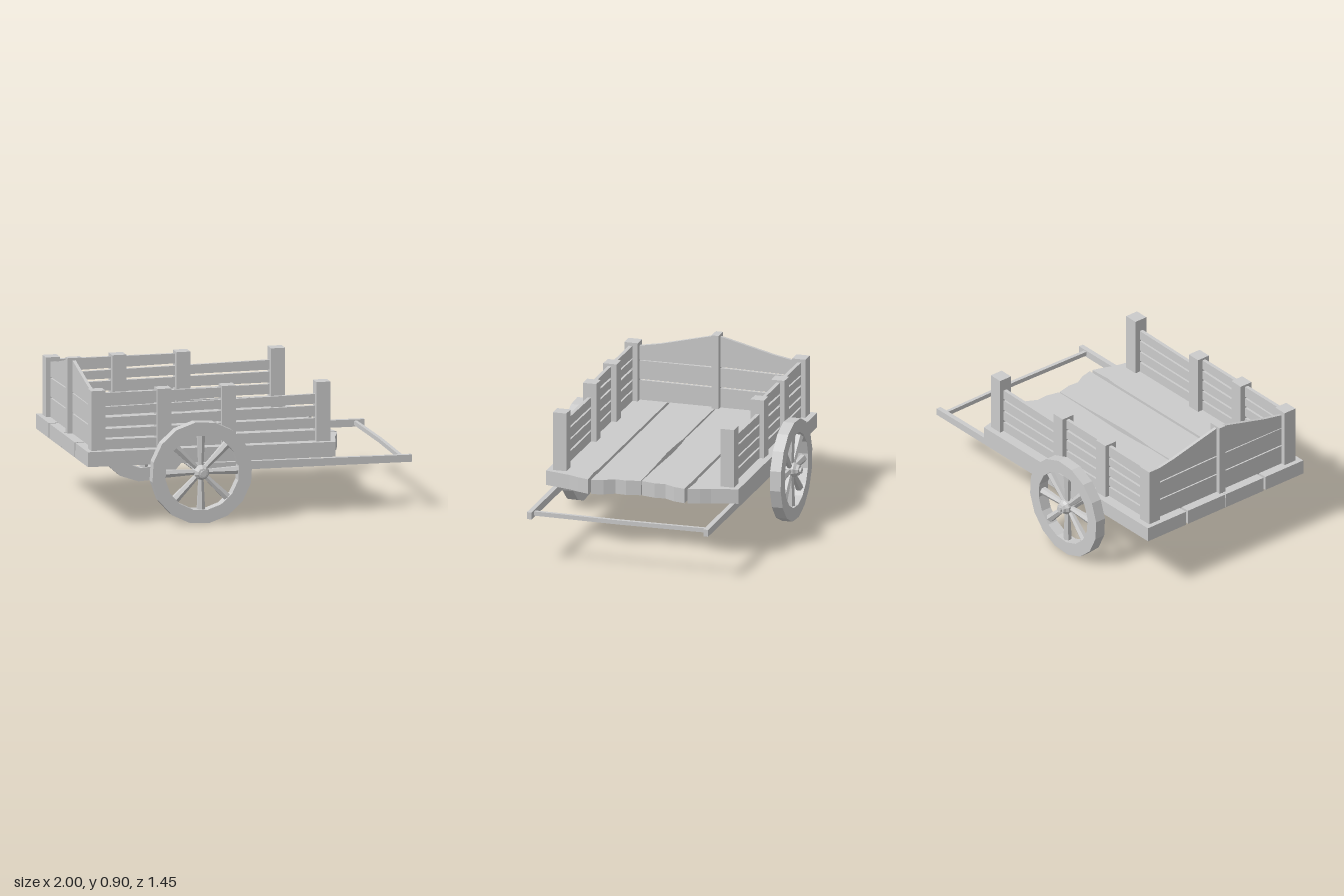
import * as THREE from 'three';

const material = new THREE.MeshStandardMaterial({ color: 0xcccccc, flatShading: true });

function add(parent, name, geometry, x = 0, y = 0, z = 0) {
  const mesh = new THREE.Mesh(geometry, material);
  mesh.name = name;
  mesh.position.set(x, y, z);
  parent.add(mesh);
  return mesh;
}

// Straight-sided plate cut from a list of [x, y] corners
function plate(points, depth) {
  const shape = new THREE.Shape(points.map(([x, y]) => new THREE.Vector2(x, y)));
  return new THREE.ExtrudeGeometry(shape, { depth, bevelEnabled: false });
}

function box(x0, x1, y0, y1, z0, z1) {
  return new THREE.BoxGeometry(x1 - x0, y1 - y0, z1 - z0)
    .translate((x0 + x1) / 2, (y0 + y1) / 2, (z0 + z1) / 2);
}

function ring(radius, sides, offset, PathType) {
  const pts = [];
  for (let i = 0; i < sides; i++) {
    const a = offset + (i / sides) * Math.PI * 2;
    pts.push(new THREE.Vector2(Math.cos(a) * radius, Math.sin(a) * radius));
  }
  return new PathType(pts);
}

function createWheel() {
  const wheel = new THREE.Group();
  wheel.name = 'wheel';
  // Faceted rim
  const rim = ring(0.309, 16, 0.14, THREE.Shape);
  rim.holes.push(ring(0.228, 16, 0.14, THREE.Path));
  add(wheel, 'rim', new THREE.ExtrudeGeometry(rim, { depth: 0.068, bevelEnabled: false }), 0, 0, 0.622);
  // Spokes flare towards the rim
  for (let i = 0; i < 8; i++) {
    const spoke = new THREE.CylinderGeometry(0.027, 0.016, 0.21, 6).translate(0, 0.132, 0);
    add(wheel, 'spoke', spoke, 0, 0, 0.656).rotation.z = (i * Math.PI) / 4;
  }
  // Turned hub with end cap
  const profile = [
    [0, 0.55], [0.026, 0.55], [0.028, 0.58], [0.036, 0.61], [0.046, 0.63], [0.046, 0.68],
    [0.034, 0.695], [0.03, 0.71], [0.018, 0.712], [0.018, 0.724], [0, 0.724],
  ].map(([r, h]) => new THREE.Vector2(r, h));
  add(wheel, 'hub', new THREE.LatheGeometry(profile, 10)).rotation.x = Math.PI / 2;
  return wheel;
}

export function createModel() {
  const cart = new THREE.Group();
  cart.name = 'handCart';

  // Floor planks with a ragged front edge, tilted slightly forwards
  const floor = new THREE.Group();
  floor.name = 'floor';
  floor.position.y = 0.441;
  floor.rotation.z = -0.01;
  cart.add(floor);
  const outer = [[-1, 0.6], [0.52, 0.6], [0.545, 0.5], [0.56, 0.44], [0.585, 0.38], [0.607, 0.31],
    [0.47, 0.318], [0.4, 0.31], [-1, 0.307]];
  const inner = [[-1, 0.291], [0.607, 0.291], [0.59, 0.22], [0.555, 0.155], [0.56, 0.09], [0.54, 0.003],
    [0.3, 0.006], [-0.02, 0.017], [-0.2, 0.012], [-0.3, 0.004], [-0.65, 0.007], [-1, 0.003]];
  for (const side of [-1, 1]) {
    for (const outline of [outer, inner]) {
      const geometry = plate(outline.map(([x, z]) => [x, z * side]), 0.09);
      add(floor, 'floorPlank', geometry).rotation.x = Math.PI / 2;
    }
  }

  // Side walls: posts and five uneven rails, the top one stopping short
  const posts = [[-0.927, 0.812], [-0.52, 0.804], [-0.125, 0.802], [0.455, 0.795]];
  const rails = [
    [0.46, 0.445, 0.51, 0.43, 0.498],
    [0.46, 0.522, 0.573, 0.512, 0.572],
    [0.46, 0.587, 0.642, 0.583, 0.648],
    [0.46, 0.657, 0.706, 0.66, 0.719],
    [-0.09, 0.716, 0.792, 0.73, 0.787],
  ];
  for (const side of [-1, 1]) {
    const wall = new THREE.Group();
    wall.name = side > 0 ? 'leftOfFloorWall' : 'rightOfFloorWall';
    wall.name = side > 0 ? 'frontWall' : 'backWall';
    cart.add(wall);
    for (const [x, top] of posts) {
      add(wall, 'post', box(x - 0.043, x + 0.043, 0.43, top, -0.042, 0.042), 0, 0, side * 0.523);
    }
    for (const [end, b0, t0, b1, t1] of rails) {
      const rail = plate([[-0.93, b0], [end, b1], [end, t1], [-0.93, t0]], 0.022);
      add(wall, 'rail', rail, 0, 0, side * 0.526 - 0.011);
    }
  }

  // Tail wall: two straight boards, a peaked top board and a centre post
  const tail = new THREE.Group();
  tail.name = 'tailWall';
  cart.add(tail);
  const boards = [
    [[-0.5, 0.445], [0.5, 0.445], [0.5, 0.566], [-0.5, 0.572]],
    [[-0.5, 0.58], [0.5, 0.574], [0.5, 0.686], [0.1, 0.694], [-0.5, 0.694]],
    [[-0.5, 0.698], [0.1, 0.702], [0.5, 0.694], [0.5, 0.782], [0.35, 0.81], [0, 0.897],
      [-0.35, 0.81], [-0.5, 0.782]],
  ];
  for (const outline of boards) {
    add(tail, 'tailBoard', plate(outline, 0.02), -0.942, 0, 0).rotation.y = Math.PI / 2;
  }
  add(tail, 'centrePost', box(-0.972, -0.886, 0.43, 0.906, -0.022, 0.022));

  // Axle and wheels
  const axle = new THREE.CylinderGeometry(0.02, 0.02, 1.2, 10);
  add(cart, 'axle', axle, -0.322, 0.31, 0).rotation.x = Math.PI / 2;
  for (const side of [-1, 1]) {
    const wheel = createWheel();
    wheel.position.set(-0.322, 0.309, 0);
    if (side < 0) wheel.rotation.y = Math.PI;
    cart.add(wheel);
  }

  // Pull shafts running forwards from the axle
  for (const side of [-1, 1]) {
    const shaft = plate([[-0.345, 0.292], [1, 0.283], [1, 0.326], [-0.345, 0.342]], 0.03);
    add(cart, 'shaft', shaft, 0, 0, side * 0.55 - 0.015);
  }
  // Slightly bowed pull bar
  const bar = plate([[0.932, 0.54], [0.943, 0], [0.936, -0.54], [0.956, -0.54], [0.966, 0], [0.954, 0.54]], 0.026);
  add(cart, 'pullBar', bar, 0, 0.319, 0).rotation.x = Math.PI / 2;

  return cart;
}
